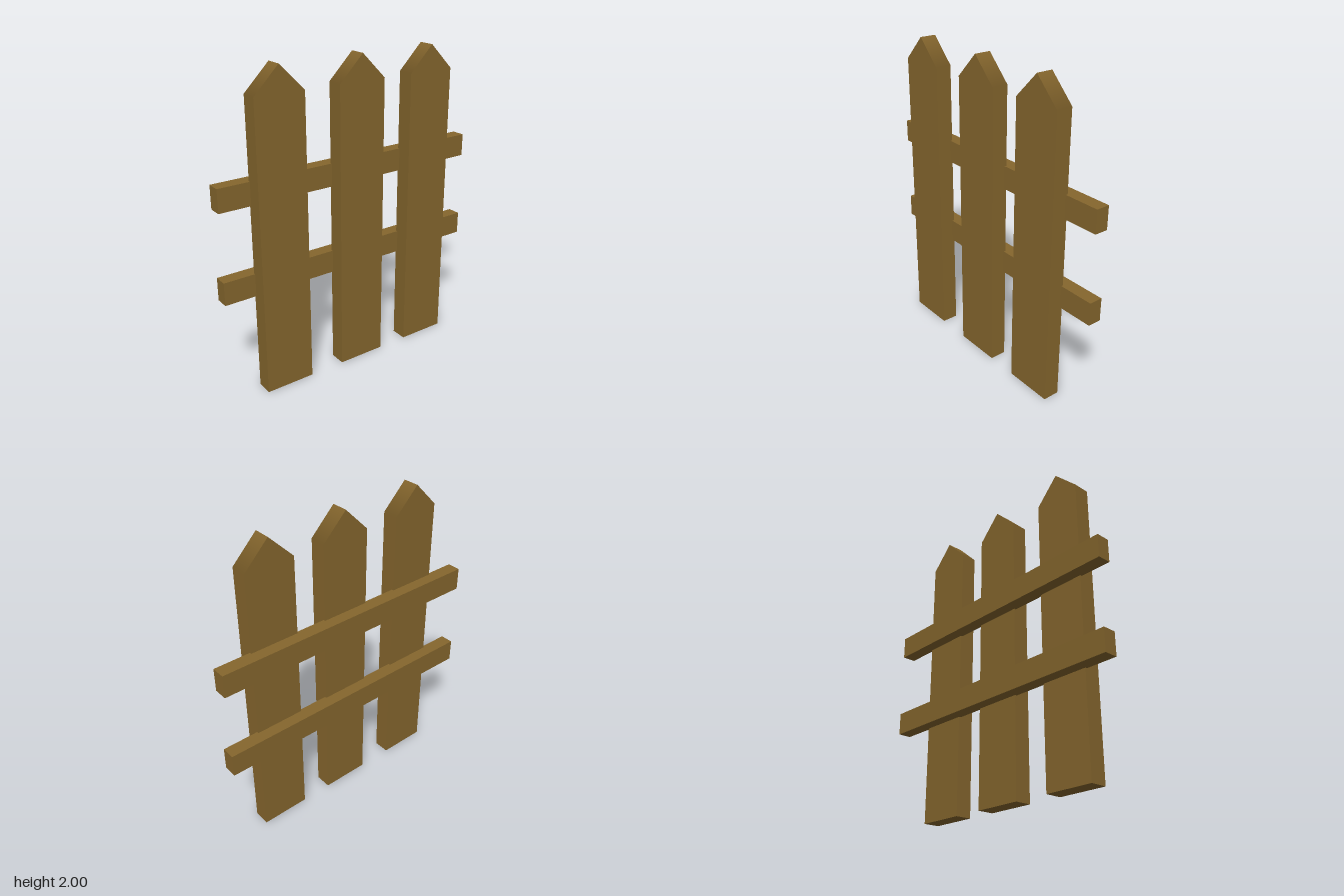
import * as THREE from 'three';

export function createModel() {
  const group = new THREE.Group();
  const wood = new THREE.MeshStandardMaterial({ color: 0x85662d });
  wood.name = 'brown wood';

  const add = (parent, name, geometry, x, y, z) => {
    const mesh = new THREE.Mesh(geometry, wood);
    mesh.name = name;
    mesh.position.set(x, y, z);
    parent.add(mesh);
  };

  // Pickets: a tall board with a pointed tip made of a two-sided half cylinder
  const radius = 0.159, shoulder = 1.841, depth = 0.106, z = 0.037;
  const board = new THREE.BoxGeometry(radius * 2, shoulder, depth);
  const tip = new THREE.CylinderGeometry(radius, radius, depth, 2, 1, false, Math.PI / 2, Math.PI);
  tip.rotateX(Math.PI / 2);
  for (const [side, x] of [['right', -0.55], ['middle', 0], ['left', 0.52]]) {
    const picket = new THREE.Group();
    picket.name = `${side}Picket`;
    add(picket, 'board', board, x, shoulder / 2, z);
    add(picket, 'pointedTip', tip, x, shoulder, z);
    group.add(picket);
  }

  // Two horizontal rails set slightly into the back of the pickets
  const rail = new THREE.BoxGeometry(1.824, 0.146, 0.087);
  add(group, 'lowerRail', rail, 0, 0.702, -0.0465);
  add(group, 'upperRail', rail, 0, 1.276, -0.0465);

  return group;
}
